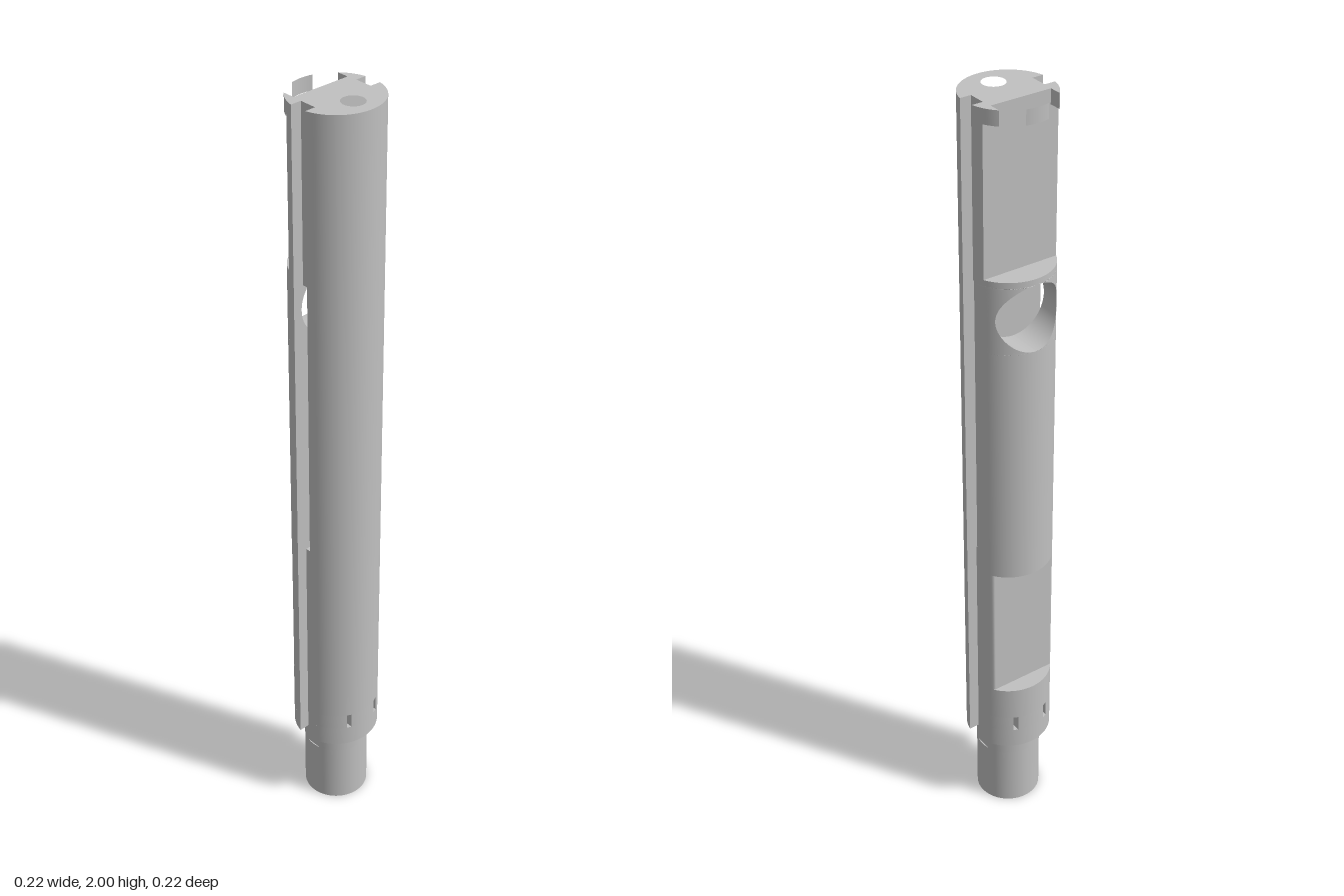
import * as THREE from 'three';
import { toCreasedNormals } from 'three/addons/utils/BufferGeometryUtils.js';

const R = 0.11;          // body radius
const SPIGOT = 0.083;    // spigot radius
const SLOT = 0.022;      // half height of the side slots in z
const CORE = 0.08;       // half width between slot floors

// Outline points of a disc region: v from d to e, x from x0 to x1
function band(r, d, e, x0, x1) {
  const pts = [];
  const xe = Math.sqrt(r * r - d * d);
  if (x0 > -xe + 1e-6) pts.push([x0, d]);
  if (x1 < xe - 1e-6) pts.push([x1, d]);
  const a0 = Math.acos(Math.min(x1, xe) / r), a1 = Math.acos(Math.max(x0, -xe) / r);
  const n = Math.max(8, Math.ceil((a1 - a0) * 24));
  for (let i = 0; i <= n; i++) {
    const a = a0 + (a1 - a0) * i / n;
    pts.push([r * Math.cos(a), Math.min(r * Math.sin(a), e)]);
  }
  return pts;
}

// Creasing is done at a larger scale so close vertices stay distinct
function crease(geo) {
  geo.scale(100, 100, 100);
  const g = toCreasedNormals(geo, 0.5);
  g.scale(0.01, 0.01, 0.01);
  return g;
}

// Extrude an outline upwards from y0 to y1; side is 1 for back, -1 for front
function prism(pts, side, y0, y1, bore = false) {
  const shape = new THREE.Shape(pts.map(([x, v]) => new THREE.Vector2(x, v * side)));
  if (bore) shape.holes.push(new THREE.Path().absarc(0, -0.053, 0.028, 0, Math.PI * 2, true));
  const geo = new THREE.ExtrudeGeometry(shape, { depth: y1 - y0, bevelEnabled: false, curveSegments: 32 });
  geo.rotateX(-Math.PI / 2).translate(0, y0, 0);
  return crease(geo);
}

// Back wall beside the round opening, lofted from sections up the height
function openingSide(s, yc, r) {
  const rows = 40, arc = 16, pos = [], idx = [];
  const xe = Math.sqrt(R * R - SLOT * SLOT), n = arc + 2;
  for (let j = 0; j <= rows; j++) {
    const t = -Math.PI / 2 + Math.PI * j / rows;
    const y = yc + r * Math.sin(t), w = Math.max(r * Math.cos(t), 0);
    pos.push(s * w, y, -SLOT);
    const a0 = Math.acos(w / R), a1 = Math.acos(xe / R);
    for (let i = 0; i <= arc; i++) {
      const a = a0 + (a1 - a0) * i / arc;
      pos.push(s * R * Math.cos(a), y, -R * Math.sin(a));
    }
  }
  for (let j = 0; j < rows; j++) for (let i = 0; i < n; i++) {
    const a = j * n + i, b = j * n + (i + 1) % n, c = a + n, d = b + n;
    if (s > 0) idx.push(a, c, b, b, c, d);
    else idx.push(a, b, c, b, d, c);
  }
  const geo = new THREE.BufferGeometry();
  geo.setAttribute('position', new THREE.Float32BufferAttribute(pos, 3));
  geo.setIndex(idx);
  return crease(geo.toNonIndexed());
}

export function createModel() {
  const model = new THREE.Group();
  const grey = new THREE.MeshStandardMaterial({ color: 0xc0c0c0 });
  grey.name = 'light grey';
  const add = (name, geo, mat = grey) => {
    const mesh = new THREE.Mesh(geo, mat);
    mesh.name = name;
    model.add(mesh);
  };
  const box = (name, x0, x1, y0, y1) => add(name,
    new THREE.BoxGeometry(x1 - x0, y1 - y0, SLOT * 2).translate((x0 + x1) / 2, (y0 + y1) / 2, 0));
  const full = (d, e = 1) => band(R, d, e, -R, R);

  // Spigot, with flats where the side slots run down into it
  const disc = (limit) => {
    const top = band(SPIGOT, 0, 1, -SPIGOT, SPIGOT);
    const low = top.slice(1, -1).map(([x, v]) => [-x, -v]);
    return [...top, ...low].map(([x, v]) => [Math.max(-limit, Math.min(limit, x)), v]);
  };
  add('spigot', prism(disc(SPIGOT), 1, 0, 0.17, true));
  add('spigotNeck', prism(disc(CORE), 1, 0.17, 0.22, true));

  // Front half with the long bore
  add('frontLower', prism(full(SLOT), -1, 0.22, 0.275, true));
  add('frontShell', prism(full(SLOT), -1, 0.318, 2, true));

  // Back half with its flats
  add('backCollar', prism(full(SLOT), 1, 0.22, 0.275));
  add('backRing', prism(full(SLOT), 1, 0.318, 0.41));
  add('lowerFlat', prism(full(SLOT, 0.065), 1, 0.41, 0.78));
  add('backShell', prism(full(SLOT), 1, 0.78, 1.412));
  add('backRim', prism(full(SLOT), 1, 1.582, 1.597));
  add('upperFlat', prism(full(SLOT, 0.047), 1, 1.597, 2));

  // Core between the side slots, open through the middle
  box('coreFoot', -CORE, CORE, 0.22, 0.275);
  box('coreLower', -CORE, CORE, 0.318, 0.815);
  box('coreUpper', -CORE, CORE, 1.56, 2);

  // Layer pierced by two narrow slits
  const cuts = [[-R, -0.052], [-0.04, 0.04], [0.052, R]];
  cuts.forEach(([x0, x1], i) => {
    add('slitLayerFront', prism(band(R, SLOT, 1, x0, x1), -1, 0.275, 0.318, i === 1));
    add('slitLayerBack', prism(band(R, SLOT, 1, x0, x1), 1, 0.275, 0.318));
    box('slitLayerCore', Math.max(x0, -CORE), Math.min(x1, CORE), 0.275, 0.318);
  });

  // Round opening and top corner tabs
  for (const s of [1, -1]) {
    add('openingSide', openingSide(s, 1.497, 0.085));
    const tab = band(R, 0.047, 1, 0.078, R).map(([x, v]) => [x * s, v]);
    add('topTab', prism(tab, 1, 1.964, 2));
  }

  // Thin curved clip at the top of the back
  const thin = new THREE.MeshStandardMaterial({ color: 0xc0c0c0, side: THREE.DoubleSide });
  thin.name = 'light grey thin';
  const clip = new THREE.CylinderGeometry(R, R, 0.036, 8, 1, true, Math.PI - 0.27, 0.54);
  add('topClip', clip.translate(0, 1.982, 0), thin);

  return model;
}
